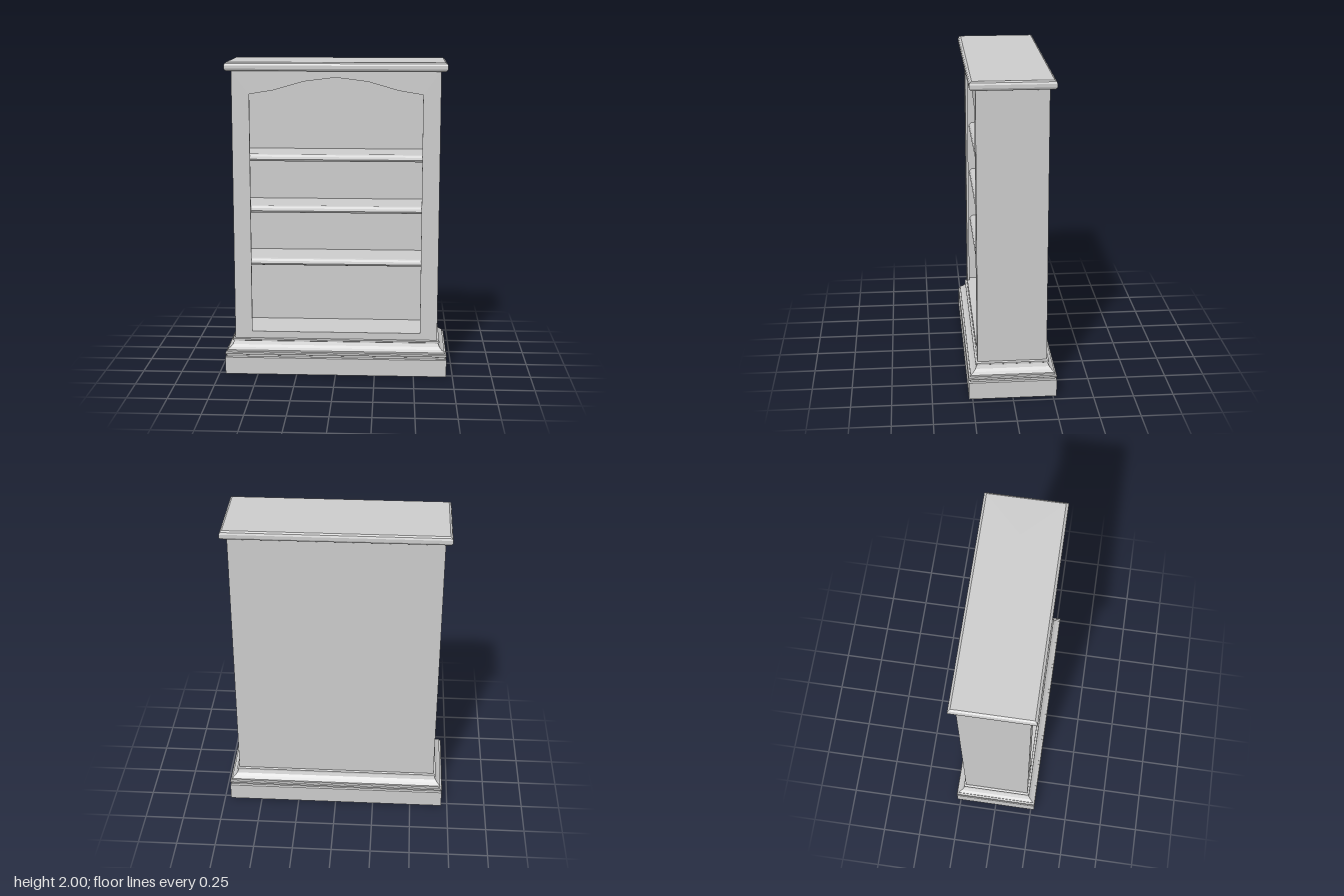
import * as THREE from 'three';

const material = new THREE.MeshStandardMaterial({ color: 0xcccccc, flatShading: true, side: THREE.DoubleSide });
const INSET = 0.437; // half width minus half depth, the same at every height

// Sweeps a moulding profile of [half width, height] points around the rectangular plan.
function mouldingRing(profile) {
  const corners = [[1, 1], [1, -1], [-1, -1], [-1, 1]];
  const at = ([sx, sz], [w, y]) => [sx * w, y, sz * (w - INSET)];
  const positions = [];
  for (let i = 0; i < 4; i++) {
    const from = corners[i], to = corners[(i + 1) % 4];
    for (let j = 0; j < profile.length - 1; j++) {
      const a = at(from, profile[j]), b = at(to, profile[j]);
      const c = at(to, profile[j + 1]), d = at(from, profile[j + 1]);
      positions.push(...a, ...b, ...c, ...a, ...c, ...d);
    }
  }
  const geometry = new THREE.BufferGeometry();
  geometry.setAttribute('position', new THREE.Float32BufferAttribute(positions, 3));
  geometry.computeVertexNormals();
  return geometry;
}

export function createModel() {
  const group = new THREE.Group();

  function add(name, geometry) {
    const mesh = new THREE.Mesh(geometry, material);
    mesh.name = name;
    group.add(mesh);
    return mesh;
  }

  // Box given by its limits on each axis
  function panel(name, x0, x1, y0, y1, z0, z1) {
    add(name, new THREE.BoxGeometry(x1 - x0, y1 - y0, z1 - z0))
      .position.set((x0 + x1) / 2, (y0 + y1) / 2, (z0 + z1) / 2);
  }

  // Hollow plinth with its beads and cove, open underneath
  add('plinth', mouldingRing([
    [0.71, 0], [0.71, 0.11], [0.70, 0.115], [0.70, 0.125], [0.708, 0.128],
    [0.711, 0.135], [0.708, 0.143], [0.698, 0.147], [0.698, 0.157], [0.68, 0.17],
    [0.666, 0.185], [0.658, 0.205], [0.658, 0.209], [0.665, 0.213], [0.665, 0.222],
    [0.658, 0.226], [0.65, 0.226],
  ]));

  // Top board with moulded edge, closed above and below
  add('topBoard', mouldingRing([
    [INSET, 1.945], [0.678, 1.945], [0.685, 1.951], [0.69, 1.96],
    [0.69, 1.98], [0.685, 1.992], [0.674, 2], [INSET, 2],
  ]));

  // Front frame with arched opening
  const frame = new THREE.Shape([
    [-0.65, 0.2], [0.65, 0.2], [0.65, 1.95], [-0.65, 1.95],
  ].map(([x, y]) => new THREE.Vector2(x, y)));
  const arch = [[0.54, 1.80], [0.39, 1.825], [0.2, 1.88], [0, 1.905]];
  const leftArch = arch.slice(0, 3).reverse().map(([x, y]) => [-x, y]);
  frame.holes.push(new THREE.Path(
    [[-0.54, 0.27], [0.54, 0.27], ...arch, ...leftArch].map(([x, y]) => new THREE.Vector2(x, y)),
  ));
  const frameGeometry = new THREE.ExtrudeGeometry(frame, { depth: 0.015, bevelEnabled: false });
  add('frontFrame', frameGeometry).position.z = 0.2;

  // Outer case
  for (const [side, s] of [['left', 1], ['right', -1]]) {
    const span = (a, b) => [Math.min(s * a, s * b), Math.max(s * a, s * b)];
    panel(side + 'Side', ...span(0.64, 0.65), 0.2, 1.95, -0.215, 0.2);
    panel(side + 'Lining', ...span(0.585, 0.593), 0.26, 1.945, -0.09, 0.2);
  }
  panel('back', -0.64, 0.64, 0.2, 1.95, -0.215, -0.205);

  // Compartment lining
  panel('innerBack', -0.593, 0.593, 0.26, 1.945, -0.098, -0.09);
  panel('floor', -0.585, 0.585, 0.26, 0.27, -0.09, 0.2);
  panel('ceiling', -0.585, 0.585, 1.93, 1.94, -0.09, 0.2);

  // Shelves with rounded front edges
  const shelfProfile = new THREE.Shape([
    [-0.09, 0], [0.175, 0], [0.187, 0.006], [0.192, 0.014],
    [0.188, 0.03], [0.178, 0.041], [0.165, 0.045], [-0.09, 0.045],
  ].map(([z, y]) => new THREE.Vector2(z, y)));
  const shelfGeometry = new THREE.ExtrudeGeometry(shelfProfile, { depth: 1.17, bevelEnabled: false });
  shelfGeometry.translate(0, 0, -0.585).rotateY(-Math.PI / 2);
  for (const y of [0.702, 1.045, 1.375]) add('shelf', shelfGeometry).position.y = y;

  return group;
}
